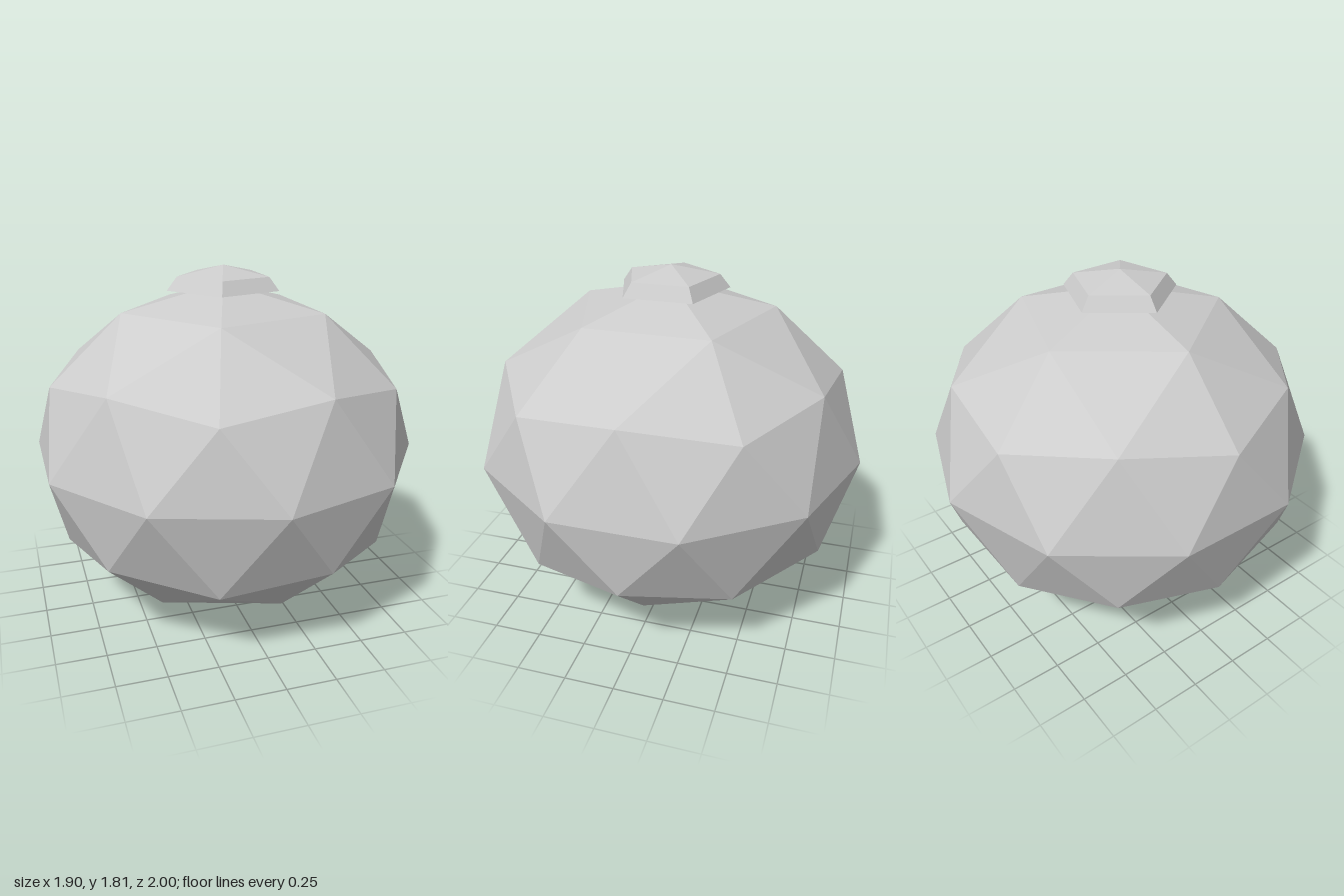
import * as THREE from 'three';

export function createModel() {
  const model = new THREE.Group();
  const grey = new THREE.MeshStandardMaterial({ color: 0xcccccc, flatShading: true });
  grey.name = 'grey';

  const addPart = (name, geometry, y) => {
    geometry.computeVertexNormals();
    const mesh = new THREE.Mesh(geometry, grey);
    mesh.name = name;
    mesh.position.y = y;
    model.add(mesh);
  };

  // Squashed faceted ball, turned so that one vertex points straight up
  const halfHeight = 0.86;
  const ball = new THREE.IcosahedronGeometry(1, 1);
  ball.rotateZ(Math.atan(2 / (1 + Math.sqrt(5))));
  ball.scale(1, halfHeight, 1);
  addPart('body', ball, halfHeight);

  // Five-sided cap with a bevelled rim and a low peak, one corner towards -x
  const profile = [[0, 0], [0.292, 0], [0.24, 0.067], [0, 0.117]];
  const cap = new THREE.LatheGeometry(
    profile.map(([r, y]) => new THREE.Vector2(r, y)), 5, -Math.PI / 2
  ).toNonIndexed();
  addPart('topCap', cap, 1.69);

  return model;
}
